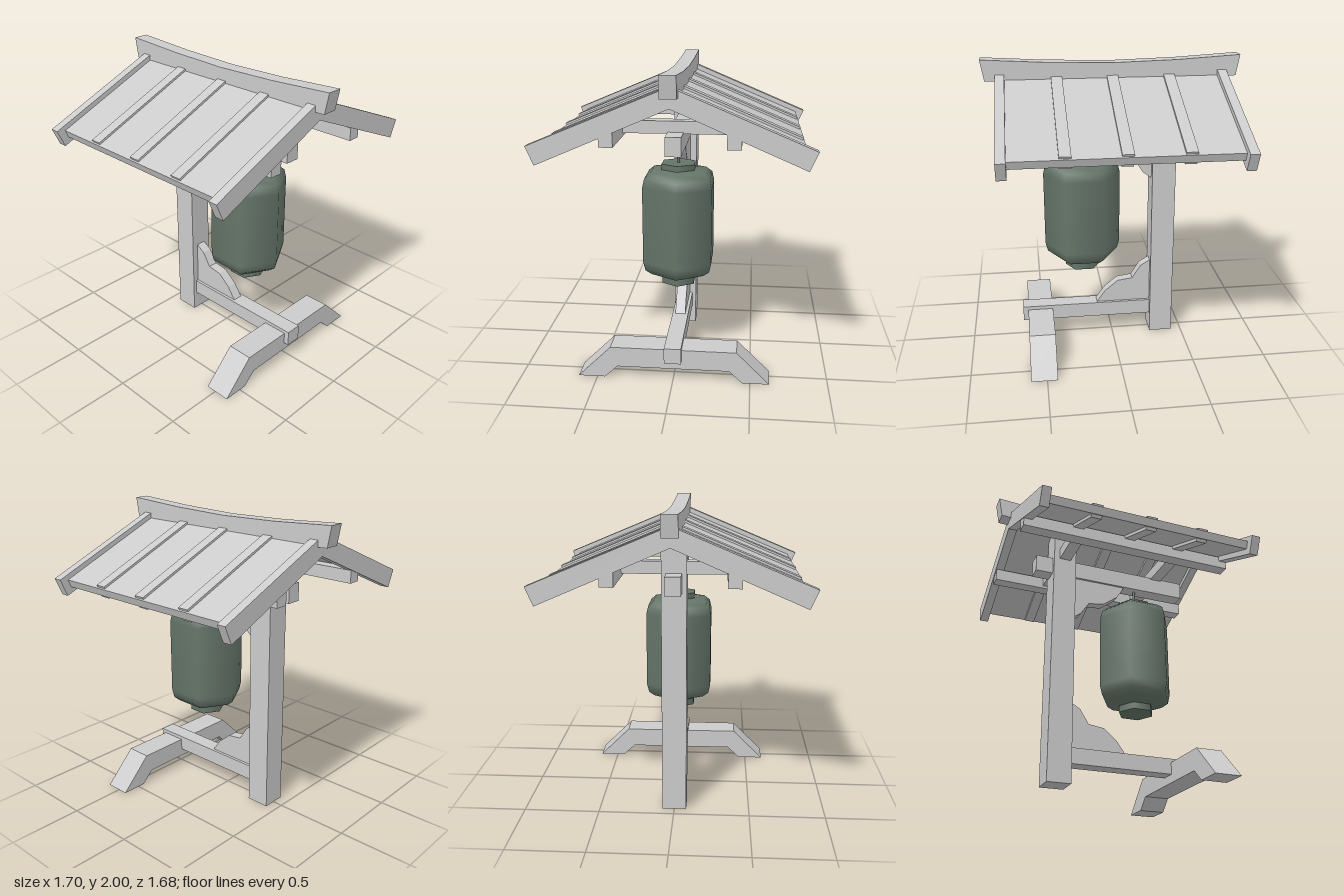
import * as THREE from 'three';

export function createModel() {
  const model = new THREE.Group();
  const wood = new THREE.MeshStandardMaterial({ color: 0xcccccc, flatShading: true });
  const bronze = new THREE.MeshStandardMaterial({ color: 0x66766a });

  const add = (name, geometry, material = wood) => {
    const mesh = new THREE.Mesh(geometry, material);
    mesh.name = name;
    model.add(mesh);
    return mesh;
  };

  // Box given by its min and max on each axis
  const beam = (name, [x0, x1], [y0, y1], [z0, z1]) =>
    add(name, new THREE.BoxGeometry(x1 - x0, y1 - y0, z1 - z0))
      .position.set((x0 + x1) / 2, (y0 + y1) / 2, (z0 + z1) / 2);

  const extrude = (points, depth) => new THREE.ExtrudeGeometry(
    new THREE.Shape(points.map(([a, b]) => new THREE.Vector2(a, b))),
    { depth, bevelEnabled: false });

  // Front outline (x, y) extruded from z0 to z1
  const frontProfile = (name, points, z0, z1) =>
    add(name, extrude(points, z1 - z0).translate(0, 0, z0));

  // Side outline (z, y) extruded across x, centred
  const sideProfile = (name, points, width) =>
    add(name, extrude(points.map(([z, y]) => [-z, y]), width)
      .rotateY(Math.PI / 2).translate(-width / 2, 0, 0));

  // Gable-shaped piece: apex heights and the two corners of the eave
  const gable = (name, top, bottom, [tx, ty], [bx, by], z0, z1) =>
    frontProfile(name, [[0, top], [-tx, ty], [-bx, by], [0, bottom], [bx, by], [tx, ty]], z0, z1);

  // Stand: post, foot and lower beam
  beam('post', [-0.08, 0.08], [0, 1.82], [-0.43, -0.27]);
  beam('lowerBeam', [-0.055, 0.055], [0.135, 0.24], [-0.28, 0.64]);
  frontProfile('foot', [
    [-0.625, 0], [-0.45, 0], [-0.365, 0.08], [0.365, 0.08],
    [0.45, 0], [0.625, 0], [0.41, 0.215], [-0.41, 0.215],
  ], 0.43, 0.605);

  // Carved brackets in the corners of the post
  sideProfile('lowerBracket', [
    [-0.28, 0.23], [0.11, 0.24], [0.05, 0.325], [-0.04, 0.4],
    [-0.145, 0.415], [-0.205, 0.51], [-0.27, 0.55], [-0.28, 0.55],
  ], 0.07);
  sideProfile('upperBracket', [
    [-0.28, 1.49], [0.11, 1.48], [0.06, 1.395], [-0.04, 1.32],
    [-0.155, 1.3], [-0.21, 1.215], [-0.27, 1.17], [-0.28, 1.17],
  ], 0.07);

  // Roof frame
  beam('upperBeam', [-0.05, 0.05], [1.48, 1.6], [-0.55, 0.56]);
  for (const z of [-0.35, 0.36]) {
    beam('crossBeam', [-0.37, 0.37], [1.59, 1.67], [z - 0.04, z + 0.04]);
  }
  for (const x of [-0.372, 0.372]) {
    beam('purlin', [x - 0.042, x + 0.042], [1.57, 1.655], [-0.745, 0.745]);
  }

  // Roof covering, rafters and end boards
  gable('roofBoards', 1.89, 1.835, [0.79, 1.56], [0.77, 1.51], -0.7, 0.7);
  for (const z of [-0.37, 0, 0.36]) {
    gable('rafter', 1.905, 1.81, [0.785, 1.577], [0.75, 1.495], z - 0.036, z + 0.036);
  }
  for (const z of [-0.72, 0.72]) {
    gable('endBoard', 1.925, 1.8, [0.85, 1.57], [0.8, 1.455], z - 0.03, z + 0.03);
  }

  // Sagging ridge beam
  sideProfile('ridge', [
    [-0.84, 2], [-0.815, 1.865], [0, 1.83], [0.815, 1.865], [0.84, 2],
    [0.42, 1.976], [0, 1.965], [-0.42, 1.976],
  ], 0.1);

  // Six-sided lantern hanging from the upper beam
  const lantern = new THREE.Group();
  lantern.name = 'lantern';
  lantern.position.z = 0.205;
  const body = [
    [0.1, 0.58], [0.2, 0.615], [0.245, 0.65], [0.26, 0.71],
    [0.26, 1.22], [0.245, 1.28], [0.2, 1.315], [0.1, 1.33],
  ].map(([r, y]) => new THREE.Vector2(r, y));
  const bodyMesh = add('lanternBody', new THREE.LatheGeometry(body, 6), bronze);
  lantern.add(bodyMesh);
  for (const [name, y] of [['lanternBottomCap', 0.562], ['lanternTopCap', 1.342]]) {
    const cap = add(name, new THREE.CylinderGeometry(0.122, 0.122, 0.045, 6), bronze);
    cap.position.y = y;
    lantern.add(cap);
  }
  const rod = add('hangingRod', new THREE.CylinderGeometry(0.01, 0.01, 0.14, 6), bronze);
  rod.position.y = 1.425;
  lantern.add(rod);
  model.add(lantern);

  return model;
}
